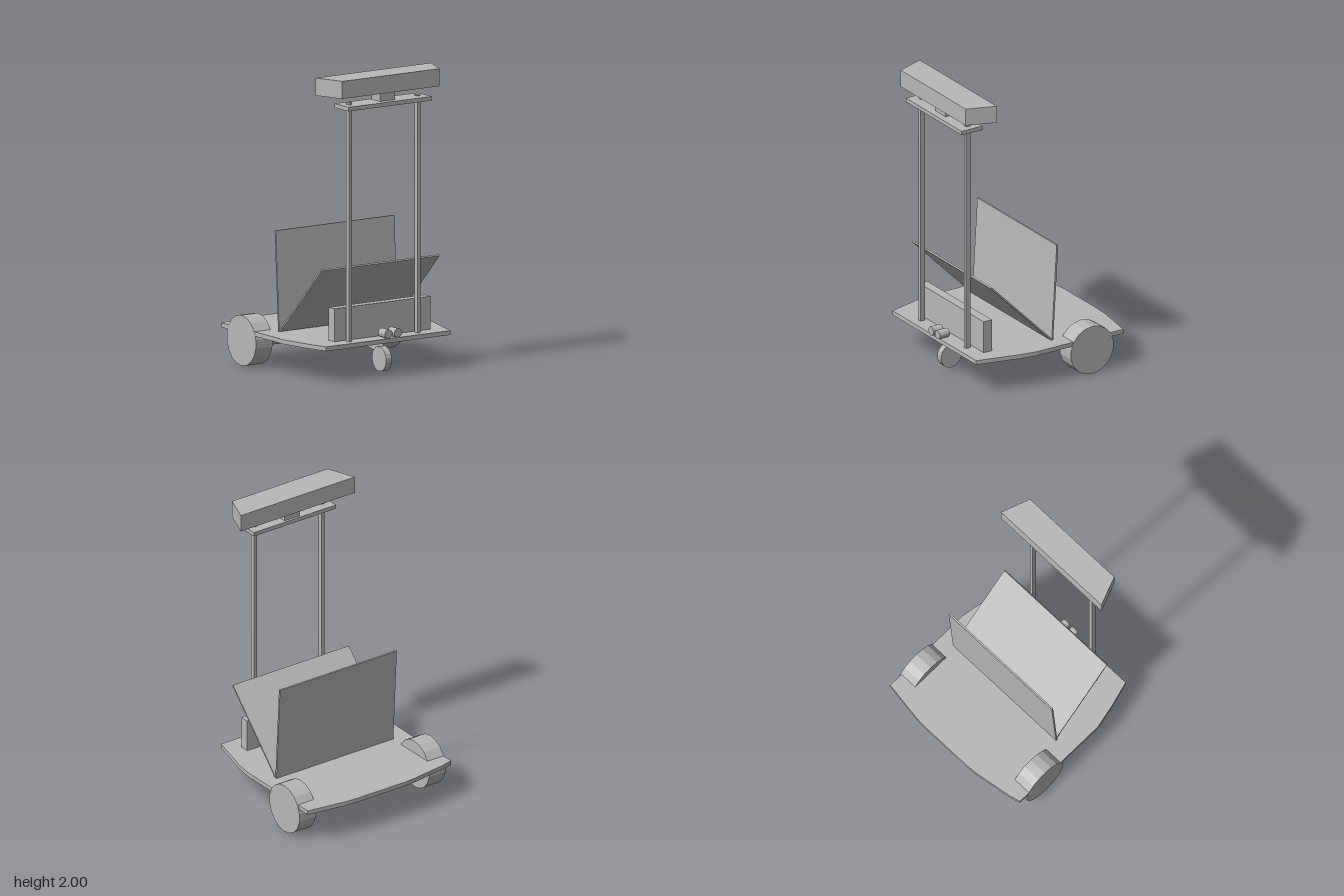
import * as THREE from 'three';

export function createModel() {
  const model = new THREE.Group();
  model.name = 'wheeledRobot';
  const grey = new THREE.MeshStandardMaterial({ color: 0xb8b8b8 });
  grey.name = 'plain grey';

  function add(name, geometry) {
    const g = geometry.index ? geometry.toNonIndexed() : geometry;
    g.computeVertexNormals(); // flat facets
    const mesh = new THREE.Mesh(g, grey);
    mesh.name = name;
    model.add(mesh);
    return mesh;
  }
  // Box given by its extents
  function box(name, x0, x1, y0, y1, z0, z1) {
    const m = add(name, new THREE.BoxGeometry(x1 - x0, y1 - y0, z1 - z0));
    m.position.set((x0 + x1) / 2, (y0 + y1) / 2, (z0 + z1) / 2);
  }
  // Faceted cylinder along x, with a corner at the top
  function axleCylinder(name, x0, x1, y, z, r, sides) {
    const g = new THREE.CylinderGeometry(r, r, x1 - x0, sides);
    g.rotateY(Math.PI / 2).rotateZ(Math.PI / 2);
    add(name, g).position.set((x0 + x1) / 2, y, z);
  }
  // Outline in (x, z) extruded from y0 to y1
  function slab(name, points, y0, y1) {
    const shape = new THREE.Shape(points.map(([x, z]) => new THREE.Vector2(x, -z)));
    const g = new THREE.ExtrudeGeometry(shape, { depth: y1 - y0, bevelEnabled: false });
    g.rotateX(-Math.PI / 2);
    add(name, g).position.y = y0;
  }
  // Thin panel between a lower and an upper edge, each (y, z)
  function panel(name, x0, x1, [ya, za], [yb, zb], thickness) {
    const length = Math.hypot(yb - ya, zb - za);
    const m = add(name, new THREE.BoxGeometry(x1 - x0, length, thickness));
    m.position.set((x0 + x1) / 2, (ya + yb) / 2, (za + zb) / 2);
    m.rotation.x = Math.atan2(zb - za, yb - ya);
  }

  // Deck with curved back and tapered front
  slab('deck', [
    [-0.5, 0.553], [0.485, 0.553], [0.56, 0.25], [0.577, 0.14], [0.577, -0.53],
    [0.3, -0.572], [0.21, -0.577], [-0.17, -0.577], [-0.24, -0.573],
    [-0.51, -0.532], [-0.585, -0.512], [-0.585, 0.21], [-0.545, 0.39],
  ], 0.229, 0.258);

  // Drive wheels, motors and caster
  axleCylinder('rightWheel', -0.586, -0.456, 0.178, -0.283, 0.167, 18);
  axleCylinder('leftWheel', 0.452, 0.584, 0.172, -0.283, 0.167, 18);
  axleCylinder('rightMotor', -0.456, -0.273, 0.17, -0.283, 0.046, 12);
  axleCylinder('leftMotor', 0.262, 0.452, 0.17, -0.283, 0.046, 12);
  axleCylinder('casterWheel', -0.008, 0.037, 0.109, 0.449, 0.082, 18);

  // Electronics block and twin front sensors
  box('electronicsBlock', -0.355, 0.403, 0.258, 0.476, 0.377, 0.44);
  for (const x of [-0.018, 0.057]) {
    const g = new THREE.CylinderGeometry(0.03, 0.03, 0.077, 14);
    g.rotateX(Math.PI / 2);
    add('frontSensor', g).position.set(x, 0.292, 0.533);
  }

  // Tray panels forming a V
  panel('backPanel', -0.458, 0.478, [0.26, -0.044], [0.921, -0.083], 0.012);
  panel('slantedPanel', -0.45, 0.48, [0.266, -0.036], [0.738, 0.431], 0.011);

  // Mast
  box('rightPole', -0.28, -0.255, 0.258, 1.836, 0.463, 0.498);
  box('leftPole', 0.261, 0.284, 0.258, 1.829, 0.463, 0.498);
  box('crossPlate', -0.328, 0.33, 1.795, 1.822, 0.403, 0.563);
  box('neck', -0.048, 0.072, 1.822, 1.885, 0.42, 0.518);

  // Head, narrower at the front
  slab('head', [[-0.381, 0.568], [0.385, 0.568], [0.457, 0.372], [-0.457, 0.372]], 1.884, 2.0);

  return model;
}
